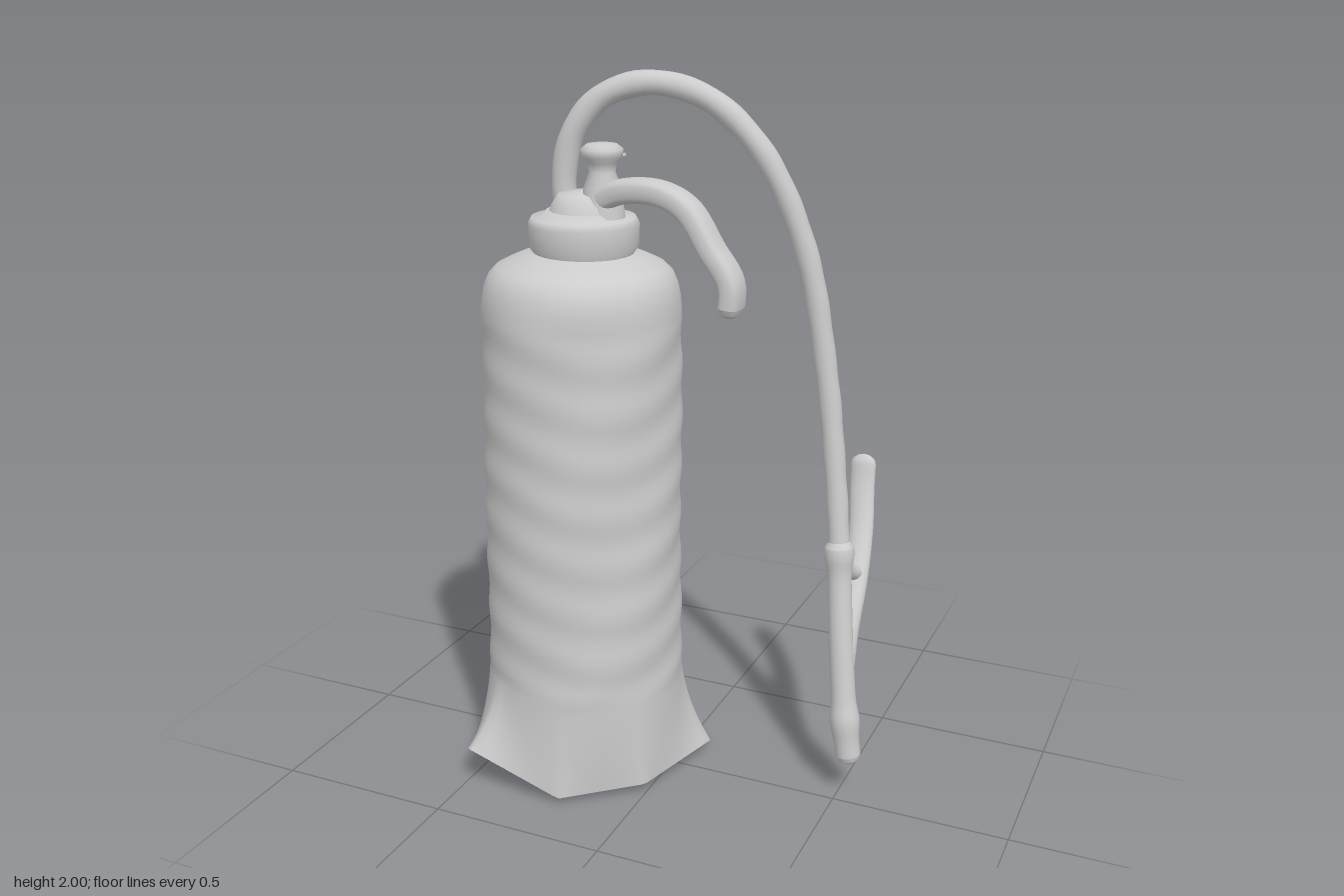
import * as THREE from 'three';

const V = (x, y, z) => new THREE.Vector3(x, y, z);
const TAU = Math.PI * 2;
const material = new THREE.MeshStandardMaterial({ color: 0xcccccc, side: THREE.DoubleSide });

// Skin a list of closed rings (equal point counts) into a smooth surface
function loft(rings) {
  const n = rings[0].length, pos = [], idx = [];
  rings.forEach(r => r.forEach(p => pos.push(p.x, p.y, p.z)));
  for (let i = 0; i < rings.length - 1; i++) {
    for (let j = 0; j < n; j++) {
      const k = (j + 1) % n, a = i * n + j, b = i * n + k;
      idx.push(a, a + n, b, b, a + n, b + n);
    }
  }
  const g = new THREE.BufferGeometry();
  g.setAttribute('position', new THREE.Float32BufferAttribute(pos, 3));
  g.setIndex(idx);
  g.computeVertexNormals();
  return g;
}

// Sweep an oval along a curve: width lies along `axis`, thick/wide are radii over t, ends rounded
function sweep(points, axis, thick, wide, steps = 60, sides = 16, power = 1) {
  const curve = new THREE.CatmullRomCurve3(points), len = curve.getLength(), rings = [];
  const soft = v => Math.sign(v) * Math.abs(v) ** power;
  const ts = Array.from({ length: steps + 1 }, (_, i) => i / steps);
  const e = 0.03 / len;
  ts.splice(1, 0, e * 0.1, e * 0.4, e);
  ts.splice(-1, 0, 1 - e, 1 - e * 0.4, 1 - e * 0.1);
  ts.sort((a, b) => a - b);
  for (const t of ts) {
    const c = curve.getPointAt(t), T = curve.getTangentAt(t);
    const N = T.clone().cross(axis).normalize(), W = N.clone().cross(T).normalize();
    const d = Math.min(1, Math.min(t, 1 - t) / e), end = Math.sqrt(1 - (1 - d) ** 2);
    rings.push(Array.from({ length: sides }, (_, j) => {
      const a = j / sides * TAU;
      return c.clone().addScaledVector(N, soft(Math.cos(a)) * thick(t) * end)
        .addScaledVector(W, soft(Math.sin(a)) * wide(t) * end);
    }));
  }
  return loft(rings);
}

// Flared foot outline, as offsets from the body axis in order of angle
const CX = -0.255, CZ = 0.055, SEG = 96;
const foot = [
  V(0.335, 0.03, -0.175), V(0.255, 0.03, 0.135), V(0.055, 0.02, 0.29), V(-0.22, 0.13, 0.315),
  V(-0.315, 0.01, 0.135), V(-0.245, 0, -0.135), V(-0.145, 0, -0.255), V(0.155, 0.01, -0.275)];

function footPoint(a) {
  const dx = Math.cos(a), dz = Math.sin(a);
  for (let k = 0; k < foot.length; k++) {
    const A = foot[k], B = foot[(k + 1) % foot.length];
    const ca = A.x * dz - A.z * dx, cb = B.x * dz - B.z * dx;
    if (ca >= 0 && cb < 0) {
      const p = A.clone().lerp(B, ca / (ca - cb));
      if (p.x * dx + p.z * dz > 0) return p.add(V(CX, 0, CZ));
    }
  }
  return V(CX + 0.28 * dx, 0.02, CZ + 0.28 * dz);
}

function ring(fn) {
  return Array.from({ length: SEG }, (_, j) => fn(j / SEG * TAU));
}

function bodyRings() {
  const levels = [];
  for (let i = 0; i <= 56; i++) levels.push([0.28 - 0.008 * i / 56, 1.36 * i / 56]);
  levels.push([0.27, 1.4], [0.263, 1.435], [0.25, 1.465], [0.23, 1.485], [0.2, 1.5], [0.165, 1.515], [0.12, 1.53]);
  return levels.map(([r, y]) => ring(a => {
    const rough = y > 0.3 && y < 1.4
      ? 0.0025 * Math.sin(y * 44 + 2 * Math.sin(a * 2)) + 0.002 * Math.sin(a * 5 + y * 9) : 0;
    const p = V(CX + (r + rough) * Math.cos(a), y, CZ - 0.025 * y / 1.5 + (r + rough) * Math.sin(a));
    const t = Math.max(0, 1 - y / 0.36);
    const f = footPoint(a), lift = f.y * t;
    p.lerp(V(f.x, p.y, f.z), t * t);
    p.y = y + lift;
    return p;
  }));
}

export function createModel() {
  const model = new THREE.Group();
  const add = (name, geometry, x = 0, y = 0, z = 0) => {
    const m = new THREE.Mesh(geometry, material);
    m.name = name;
    m.position.set(x, y, z);
    model.add(m);
    return m;
  };
  const lathe = pts => new THREE.LatheGeometry(pts.map(p => new THREE.Vector2(...p)), 32);

  // Cylinder with flared foot, and its underside
  const body = bodyRings();
  add('body', loft(body));
  add('underside', loft([ring(() => V(CX, 0.02, CZ)), body[0].map(p => p.clone())]));

  // Collar and valve
  add('collar', lathe([[0.13, 1.48], [0.135, 1.52], [0.148, 1.54], [0.15, 1.6], [0.14, 1.618],
    [0.11, 1.622], [0.1, 1.635], [0, 1.64]]), -0.245, 0, 0.03);
  add('collarLug', new THREE.SphereGeometry(0.04, 12, 8), -0.25, 1.57, -0.105);
  add('valveBase', lathe([[0.1, 1.62], [0.09, 1.65], [0.07, 1.68], [0, 1.69]]), -0.24, 0, 0.03);
  add('valveStem', lathe([[0.06, 1.62], [0.05, 1.7], [0.035, 1.74], [0.04, 1.765], [0.055, 1.78],
    [0.056, 1.8], [0.04, 1.812], [0, 1.815]]), -0.185, 0, 0.035);

  // Safety pin sticking out behind the valve
  const pin = add('safetyPin', new THREE.CylinderGeometry(0.006, 0.006, 0.13, 8), -0.185, 1.765, -0.035);
  pin.rotation.x = Math.PI / 2;

  // Squeeze lever
  add('lever', sweep([V(-0.2, 1.66, 0.045), V(-0.12, 1.695, 0.055), V(0, 1.7, 0.07), V(0.08, 1.665, 0.08),
    V(0.15, 1.57, 0.09), V(0.205, 1.49, 0.095), V(0.205, 1.4, 0.095)], V(0, 0, 1),
    t => 0.034 - 0.004 * t, t => 0.04 + 0.008 * t, 40, 20, 0.7));

  // Hose arching over to the nozzle
  add('hose', sweep([V(-0.3, 1.6, 0.01), V(-0.312, 1.7, 0.01), V(-0.285, 1.83, 0.005), V(-0.21, 1.925, -0.015),
    V(-0.08, 1.965, -0.045), V(0.07, 1.925, -0.08), V(0.21, 1.79, -0.11), V(0.32, 1.54, -0.145),
    V(0.385, 1.22, -0.155), V(0.43, 0.9, -0.14), V(0.455, 0.7, -0.118)], V(0, 0, 1),
    t => 0.034 - 0.004 * t + 0.001 * Math.sin(t * 90), t => 0.034 - 0.004 * t, 90));

  // Nozzle with a coupling bulge at the top and a flared mouth
  const nozzleRadius = t => 0.033 + 0.009 * Math.exp(-(((t - 0.07) / 0.06) ** 2))
    + 0.007 * Math.exp(-(((t - 0.8) / 0.06) ** 2)) + 0.003 * t;
  add('nozzle', sweep([V(0.45, 0.75, -0.123), V(0.46, 0.64, -0.11), V(0.485, 0.42, -0.075),
    V(0.512, 0.22, -0.048), V(0.53, 0.1, -0.043)], V(0, 0, 1), nozzleRadius, nozzleRadius, 50));

  // Nozzle grip branching backwards, with the bridge to the hose
  add('nozzleGrip', sweep([V(0.49, 0.36, -0.07), V(0.485, 0.48, -0.12), V(0.478, 0.6, -0.21),
    V(0.465, 0.72, -0.285), V(0.45, 0.83, -0.33), V(0.445, 0.92, -0.352)], V(1, 0, 0),
    t => 0.032 - 0.014 * t, t => 0.034 + 0.003 * t, 30));
  add('gripBridge', sweep([V(0.46, 0.68, -0.115), V(0.468, 0.635, -0.16), V(0.475, 0.61, -0.22)],
    V(1, 0, 0), () => 0.022, () => 0.026, 12));

  // Lump on the back of the body
  const lump = add('backBracket', new THREE.IcosahedronGeometry(0.06, 2), -0.345, 1.265, -0.225);
  lump.scale.set(1.15, 0.95, 0.9);
  const stud = add('bracketStud', new THREE.SphereGeometry(0.028, 12, 8), -0.325, 1.25, -0.26);
  stud.scale.set(1.2, 1.2, 0.9);

  return model;
}
